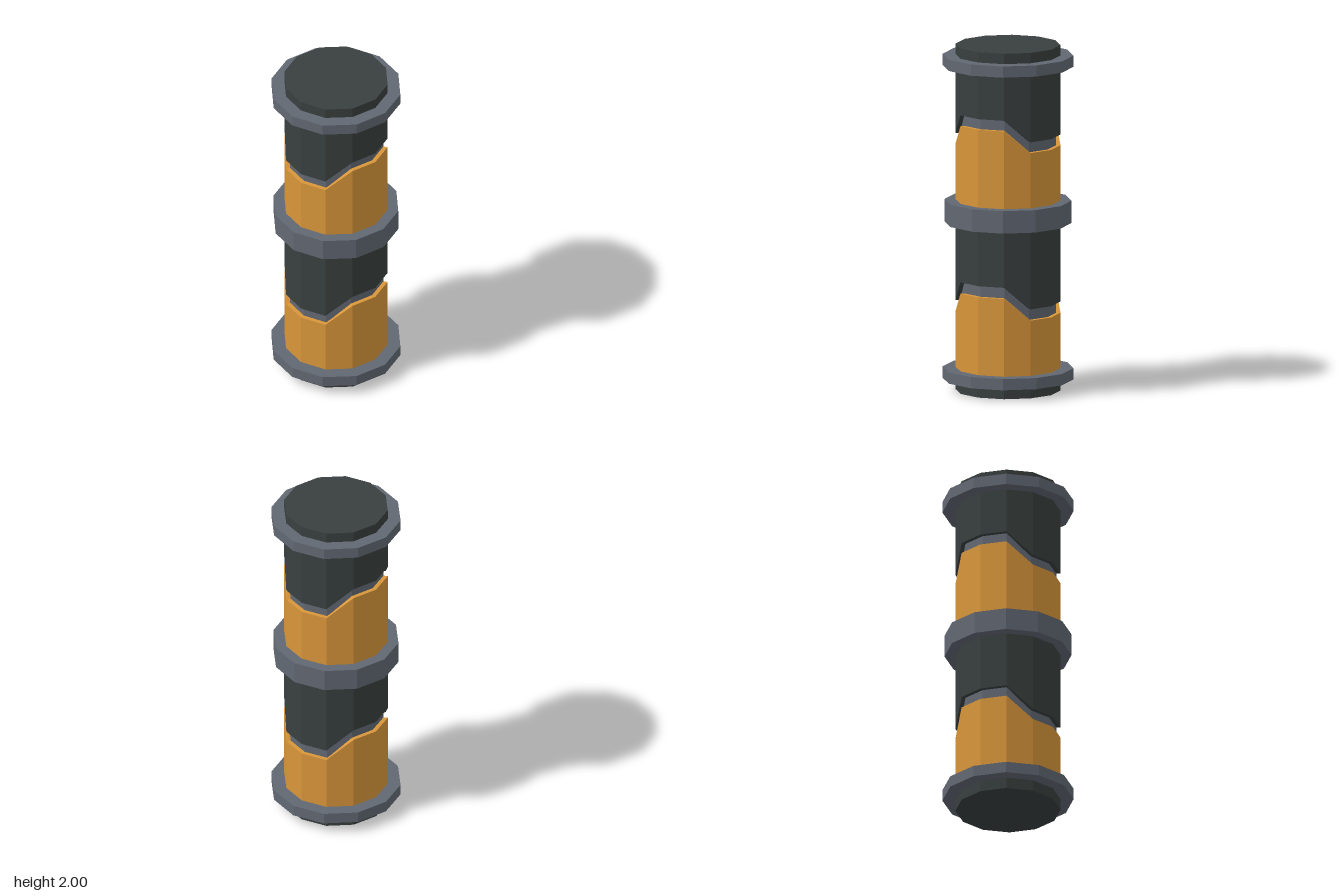
import * as THREE from 'three';

const SIDES = 12;
const RADIUS = 0.3;
const CORE_RADIUS = 0.275;
const STEP = 0.13; // height difference of the stepped sleeve edges

const flat = (name, color) => {
  const m = new THREE.MeshStandardMaterial({ color, flatShading: true });
  m.name = name;
  return m;
};

export function createModel() {
  const group = new THREE.Group();
  group.name = 'segmentedCanister';
  const dark = flat('darkCasing', 0x39403f);
  const grey = flat('greyMetal', 0x626873);
  const orange = flat('orangeCasing', 0xd9963a);

  const add = (name, geometry, material) => {
    const mesh = new THREE.Mesh(geometry, material);
    mesh.name = name;
    group.add(mesh);
    return mesh;
  };

  // Solid twelve-sided disc between two heights
  const disc = (name, radius, y0, y1, material) => {
    const g = new THREE.CylinderGeometry(radius, radius, y1 - y0, SIDES);
    add(name, g, material).position.y = (y0 + y1) / 2;
  };

  // Thin sleeve with one straight edge and one edge stepping up at the sides
  const sleeve = (name, straightY, steppedY, material) => {
    const inner = CORE_RADIUS - 0.005;
    const profile = [[inner, steppedY], [RADIUS, steppedY], [RADIUS, straightY]];
    if (straightY < steppedY) profile.reverse();
    const g = new THREE.LatheGeometry(profile.map(([r, y]) => new THREE.Vector2(r, y)), SIDES);
    const p = g.attributes.position;
    for (let i = 0; i < p.count; i++) {
      const sideways = Math.abs(p.getX(i)) > Math.abs(p.getZ(i)) * 1.2;
      if (sideways && Math.abs(p.getY(i) - steppedY) < 1e-4) p.setY(i, steppedY + STEP);
    }
    g.computeVertexNormals();
    add(name, g, material);
  };

  disc('innerCore', CORE_RADIUS, 0.05, 1.95, grey);
  disc('bottomCap', RADIUS, 0, 0.1, dark);
  disc('topCap', RADIUS, 1.9, 2, dark);

  // Two matching segments, each an orange sleeve below a dark one
  sleeve('lowerOrangeSleeve', 0.1, 0.45, orange);
  sleeve('lowerDarkSleeve', 1.03, 0.515, dark);
  sleeve('upperOrangeSleeve', 1.03, 1.42, orange);
  sleeve('upperDarkSleeve', 1.9, 1.482, dark);

  // Collars
  disc('bottomCollar', 0.374, 0.065, 0.13, grey);
  disc('middleCollar', 0.362, 0.97, 1.1, grey);
  disc('topCollar', 0.374, 1.875, 1.94, grey);

  return group;
}
